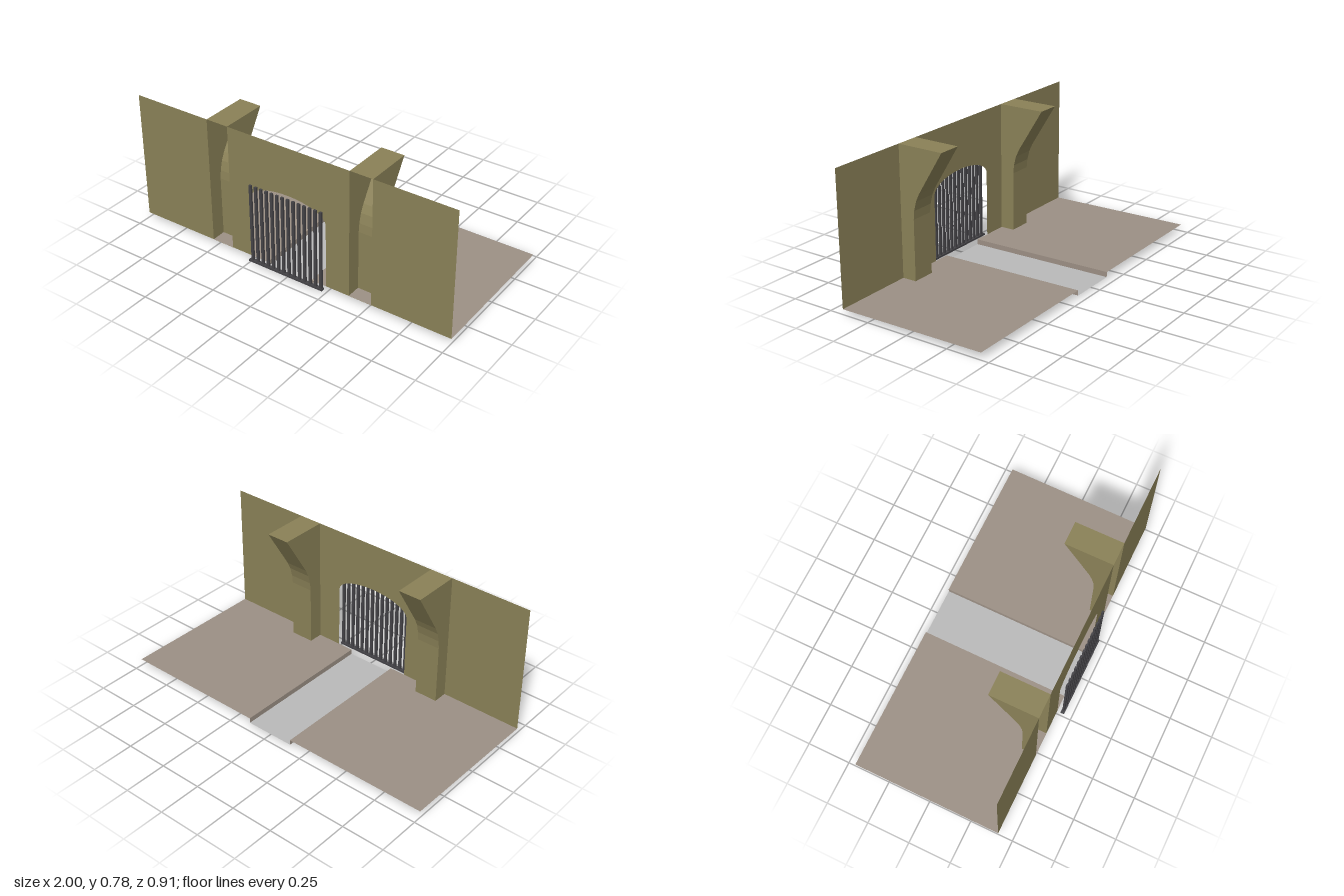
import * as THREE from 'three';

const FRONT = 0.415, BACK = -0.455, BASE = 0.033, TOP = 0.788;
const SLOPE = 0.01; // rise of the ground from front to back
const KERB = 0.03;

const flat = (name, color) => {
  const m = new THREE.MeshStandardMaterial({ color, side: THREE.DoubleSide });
  m.name = name;
  return m;
};

// Sweeps a [z, y] profile along x into a thin faceted sheet.
function sheet(profile, x0, x1) {
  const pos = [];
  for (let i = 0; i < profile.length - 1; i++) {
    const [za, ya] = profile[i], [zb, yb] = profile[i + 1];
    pos.push(x0, ya, za, x1, ya, za, x1, yb, zb, x0, ya, za, x1, yb, zb, x0, yb, zb);
  }
  const g = new THREE.BufferGeometry();
  g.setAttribute('position', new THREE.Float32BufferAttribute(pos, 3));
  g.computeVertexNormals();
  return g;
}

// Upright sheet in the side plane, outlined by [z, y] points.
function sidePlate(points, x) {
  const shape = new THREE.Shape(points.map(([z, y]) => new THREE.Vector2(z, y)));
  return new THREE.ShapeGeometry(shape).rotateY(-Math.PI / 2).translate(x, 0, 0);
}

export function createModel() {
  const model = new THREE.Group();
  const wallMat = flat('olive wall', 0x8a8157);
  const groundMat = flat('brown pavement', 0x9c9085);
  const roadMat = flat('grey road', 0xbababa);
  const ironMat = flat('dark iron', 0x444347);

  const add = (name, geometry, material, parent = model) => {
    const mesh = new THREE.Mesh(geometry, material);
    mesh.name = name;
    parent.add(mesh);
    return mesh;
  };

  // Central wall panel with an arched gateway
  const w = 0.24, spring = 0.415, crown = 0.505;
  const panel = new THREE.Shape();
  panel.moveTo(-0.385, BASE);
  panel.lineTo(-w, BASE);
  panel.lineTo(-w, spring);
  for (let i = 1; i <= 16; i++) {
    const a = Math.PI * (1 - i / 16);
    panel.lineTo(w * Math.cos(a), spring + (crown - spring) * Math.sin(a));
  }
  panel.lineTo(w, BASE);
  panel.lineTo(0.385, BASE);
  panel.lineTo(0.385, TOP);
  panel.lineTo(-0.385, TOP);
  add('gateWall', new THREE.ShapeGeometry(panel).translate(0, 0, FRONT), wallMat);

  // Buttress profile: straight foot, curved throat, leaning head
  const rear = [
    [0.33, BASE - 0.001], [0.33, 0.385], [0.325, 0.435], [0.311, 0.49],
    [0.29, 0.535], [0.135, TOP],
  ];
  const outline = [[FRONT, BASE - 0.001], ...rear, [FRONT, TOP]];

  for (const s of [-1, 1]) {
    const side = s < 0 ? 'right' : 'left';

    // Outer wall panel
    add(side + 'Wall', sheet([[FRONT, BASE], [FRONT, TOP]], s < 0 ? -1 : 0.522, s < 0 ? -0.522 : 1), wallMat);

    // Hollow buttress, open towards the front
    const buttress = new THREE.Group();
    buttress.name = side + 'Buttress';
    model.add(buttress);
    const x0 = s * 0.4535 - 0.0685, x1 = s * 0.4535 + 0.0685;
    add('buttressShell', sheet(outline, x0, x1), wallMat, buttress);
    for (const x of [x0, x1]) add('buttressCheek', sidePlate(outline, x), wallMat, buttress);

    // Pavement and its kerb
    add(side + 'Pavement', sheet([[FRONT, BASE], [BACK, BASE + SLOPE]], s < 0 ? -1 : 0.145, s < 0 ? -0.145 : 1), groundMat);
    add(side + 'Kerb', sidePlate([
      [FRONT, BASE - KERB], [BACK, BASE + SLOPE - KERB], [BACK, BASE + SLOPE], [FRONT, BASE],
    ], s * 0.145), groundMat);
  }

  // Sunken road
  add('road', sheet([[FRONT, BASE - KERB], [BACK, BASE + SLOPE - KERB]], -0.145, 0.145), roadMat);

  // Gate: bottom rail and a row of bars
  const gate = new THREE.Group();
  gate.name = 'gate';
  model.add(gate);
  add('bottomRail', new THREE.BoxGeometry(0.482, 0.011, 0.022), ironMat, gate).position.set(0, 0.03, 0.445);
  const bar = new THREE.BoxGeometry(0.015, 0.475, 0.012);
  for (let i = 0; i < 14; i++) {
    add('gateBar', bar, ironMat, gate).position.set(-0.22 + i * 0.0346, 0.269, 0.445);
  }
  return model;
}
